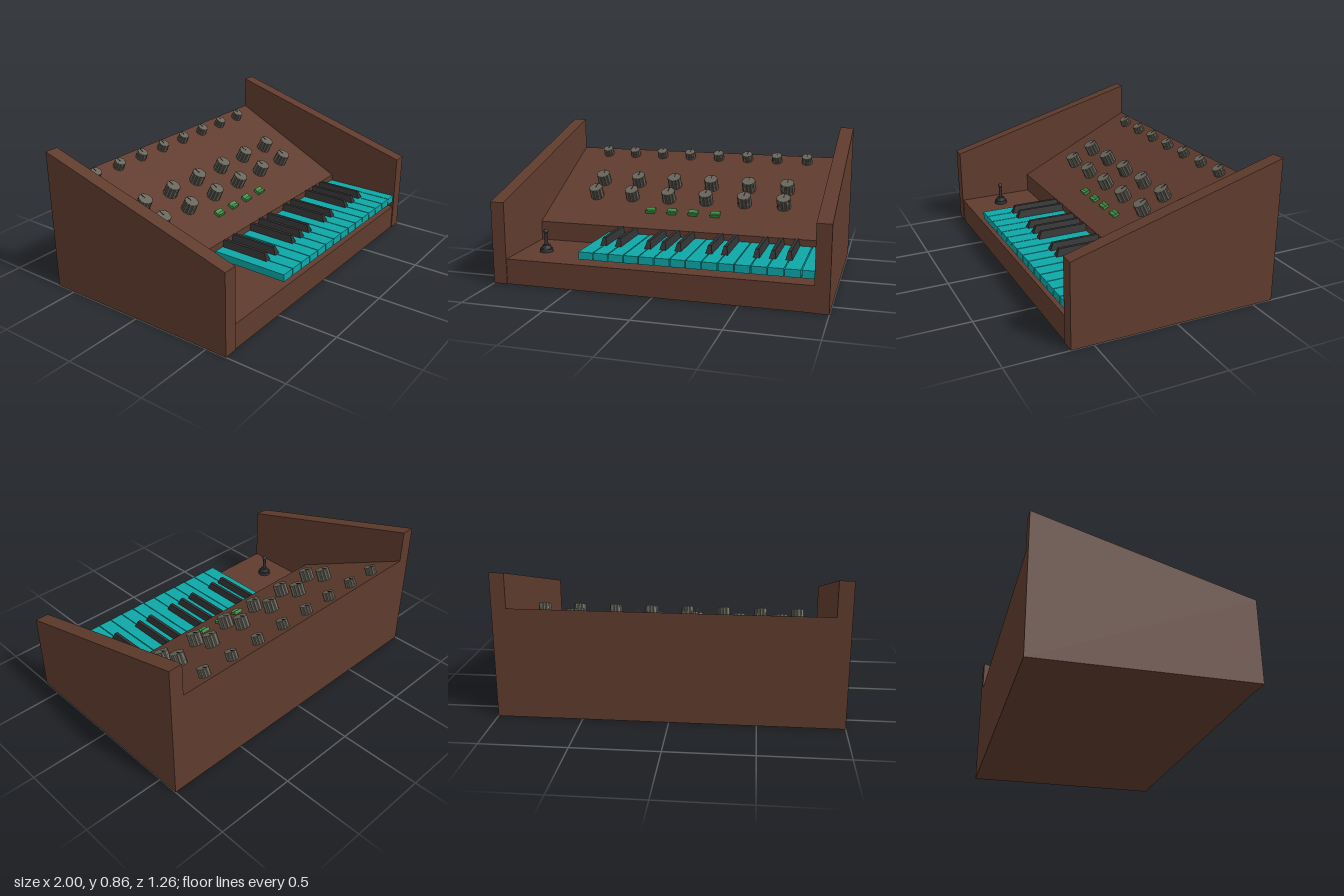
import * as THREE from 'three';

const mat = (name, color) => {
  const m = new THREE.MeshStandardMaterial({ color });
  m.name = name;
  return m;
};

export function createModel() {
  const wood = mat('brown wood', 0x5f3b2d);
  const teal = mat('teal', 0x0da7a7);
  const black = mat('black', 0x313131);
  const grey = mat('warm grey', 0x68645a);
  const green = mat('green', 0x3f9147);

  const model = new THREE.Group();
  model.name = 'synthesizer';
  const add = (parent, name, geo, material, x = 0, y = 0, z = 0) => {
    const mesh = new THREE.Mesh(geo, material);
    mesh.name = name;
    mesh.position.set(x, y, z);
    parent.add(mesh);
    return mesh;
  };

  // Extrudes a [z, y] profile along x, centred on x = 0
  const extrudeX = (points, width) => {
    const shape = new THREE.Shape(points.map(([z, y]) => new THREE.Vector2(-z, y)));
    const geo = new THREE.ExtrudeGeometry(shape, { depth: width, bevelEnabled: false });
    return geo.translate(0, 0, -width / 2).rotateY(Math.PI / 2);
  };

  // Body: flat keyboard deck, riser and sloping control panel
  const panelFront = 0.14, panelLow = 0.275, panelBack = -0.63, panelHigh = 0.655;
  const slope = (panelHigh - panelLow) / (panelFront - panelBack);
  const tilt = Math.atan(slope);
  add(model, 'body', extrudeX([[0.625, 0], [0.625, 0.155], [panelFront, 0.155],
    [panelFront, panelLow], [panelBack, panelHigh], [panelBack, 0]], 1.83), wood);

  // Side cheeks
  const cheek = extrudeX([[0.63, 0], [0.63, 0.5], [-0.63, 0.86], [-0.63, 0]], 0.085);
  add(model, 'leftCheek', cheek, wood, 0.9575);
  add(model, 'rightCheek', cheek, wood, -0.9575);

  // Natural keys, the last one running into the cheek
  const pitch = 0.0925, keyStart = -0.452;
  const keyGeo = new THREE.BoxGeometry(0.087, 0.045, 0.482);
  for (let i = 0; i < 15; i++) {
    add(model, 'naturalKey', keyGeo, teal, keyStart + (i + 0.5) * pitch, 0.2125, 0.381);
  }

  // Sharp keys: tapered bars with a sloping front
  const sharpGeo = new THREE.BoxGeometry(0.05, 0.07, 0.325).toNonIndexed();
  const p = sharpGeo.attributes.position;
  for (let i = 0; i < p.count; i++) {
    if (p.getY(i) > 0) {
      p.setX(i, p.getX(i) * 0.4);
      if (p.getZ(i) > 0) p.setZ(i, p.getZ(i) - 0.03);
    }
  }
  sharpGeo.computeVertexNormals();
  for (const k of [1, 2, 4, 5, 6, 8, 9, 11, 12, 13]) {
    add(model, 'sharpKey', sharpGeo, black, keyStart + k * pitch, 0.245, 0.3025);
  }

  // Places a group on the sloping panel, with its y axis along the panel normal
  const onPanel = (name, x, z) => {
    const g = new THREE.Group();
    g.name = name;
    g.position.set(x, panelLow + (panelFront - z) * slope, z);
    g.rotation.x = tilt;
    model.add(g);
    return g;
  };

  // Fluted knob made from a toothed outline
  const knobGeo = (r, h) => {
    const pts = [], teeth = 12;
    for (let i = 0; i < teeth * 4; i++) {
      const a = (i / (teeth * 4)) * Math.PI * 2;
      const rad = i % 4 < 3 ? r : r * 0.9;
      pts.push(new THREE.Vector2(Math.cos(a) * rad, Math.sin(a) * rad));
    }
    return new THREE.ExtrudeGeometry(new THREE.Shape(pts), { depth: h, bevelEnabled: false })
      .rotateX(-Math.PI / 2);
  };
  const knobRow = (name, count, spacing, z, r, h) => {
    const geo = knobGeo(r, h);
    const line = new THREE.BoxGeometry(r * 0.1, 0.003, r * 0.8);
    for (let i = 0; i < count; i++) {
      const g = onPanel(name, (i - (count - 1) / 2) * spacing, z);
      add(g, 'knobBody', geo, grey);
      add(g, 'pointer', line, black, 0, h + 0.001, -r * 0.5);
    }
  };
  knobRow('smallKnob', 8, 0.2025, -0.567, 0.034, 0.049);
  knobRow('largeKnob', 6, 0.251, -0.267, 0.044, 0.073);
  knobRow('largeKnob', 6, 0.251, -0.127, 0.044, 0.073);

  // Green rocker switches with a shallow valley
  const rocker = extrudeX([[0.02, 0], [0.02, 0.022], [0, 0.014], [-0.02, 0.022], [-0.02, 0]], 0.06);
  for (const x of [-0.215, -0.072, 0.068, 0.212]) {
    add(onPanel('rockerSwitch', x, -0.012), 'rocker', rocker, green);
  }

  // Joystick: stepped base, slim shaft and rounded tip
  const stick = new THREE.Group();
  stick.name = 'joystick';
  stick.position.set(-0.76, 0.155, 0.4);
  model.add(stick);
  add(stick, 'joystickBase', new THREE.CylinderGeometry(0.04, 0.042, 0.02, 24), black, 0, 0.01);
  add(stick, 'joystickCollar', new THREE.CylinderGeometry(0.024, 0.032, 0.022, 24), black, 0, 0.031);
  add(stick, 'joystickShaft', new THREE.CylinderGeometry(0.009, 0.012, 0.085, 16), black, 0, 0.082);
  add(stick, 'joystickTip', new THREE.SphereGeometry(0.015, 16, 12), black, 0, 0.127);

  return model;
}
